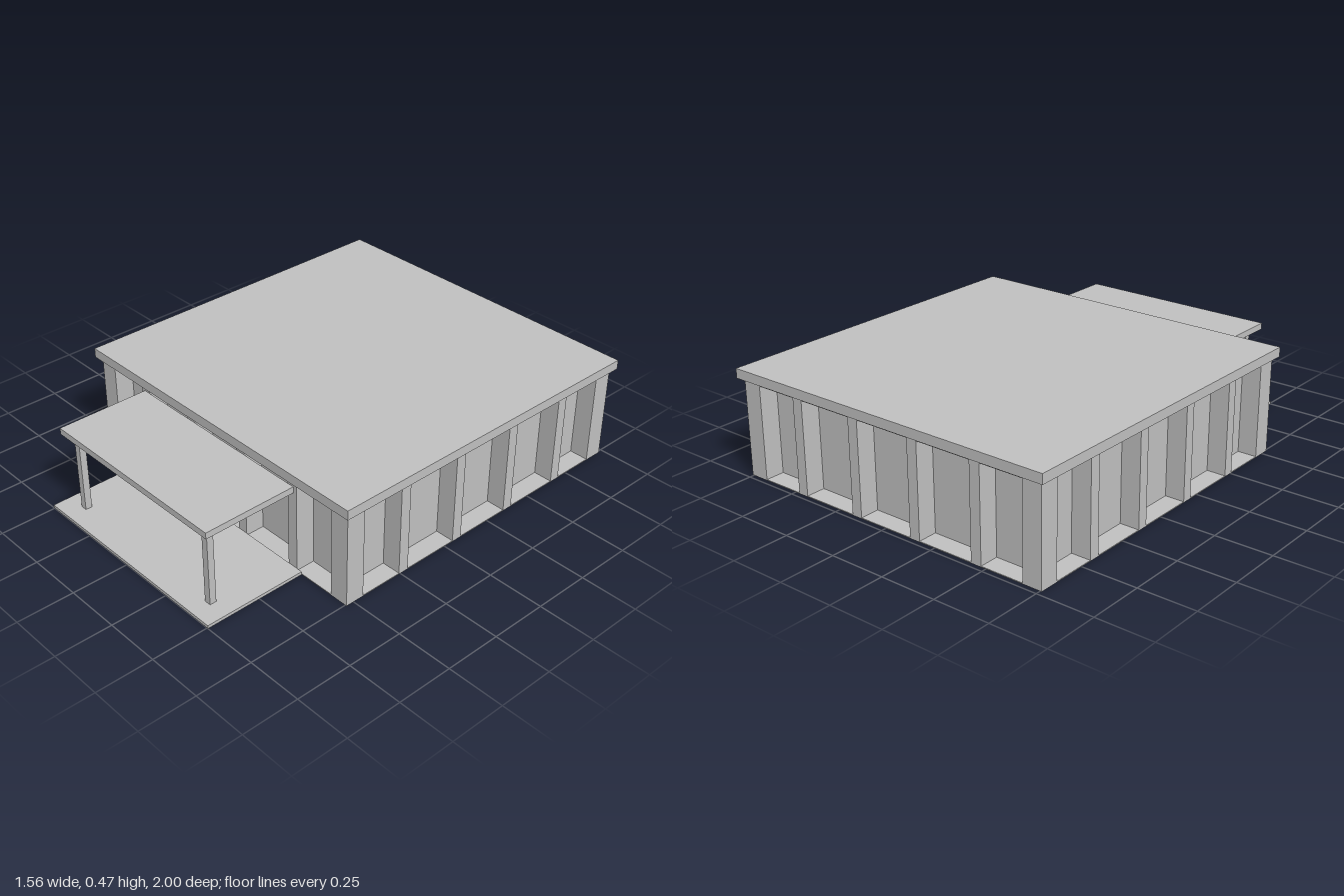
import * as THREE from 'three';

export function createModel() {
  const model = new THREE.Group();
  model.name = 'pavilion';
  const concrete = new THREE.MeshStandardMaterial({ color: 0xbfbfbf });
  concrete.name = 'concrete grey';

  // Box given by its centre on the ground plan, its footprint and its bottom and top heights
  function block(parent, name, x, z, width, depth, bottom, top) {
    const mesh = new THREE.Mesh(new THREE.BoxGeometry(width, top - bottom, depth), concrete);
    mesh.position.set(x, (bottom + top) / 2, z);
    mesh.name = name;
    parent.add(mesh);
  }

  const half = 0.757; // half the wall width
  const recess = 0.086; // depth of the bays
  const floorTop = 0.004, bayTop = 0.41, wallTop = 0.425;

  // Main hall: square plan with recessed bays on all four sides
  const hall = new THREE.Group();
  hall.name = 'hall';
  hall.position.z = -0.221;
  model.add(hall);
  block(hall, 'floorSlab', 0, 0, half * 2, half * 2, 0, floorTop);
  block(hall, 'innerWalls', 0, 0, (half - recess) * 2, (half - recess) * 2, floorTop, bayTop);
  block(hall, 'lintel', 0, 0, half * 2, half * 2, bayTop, wallTop);
  block(hall, 'roof', 0, 0, 1.558, 1.558, wallTop, 0.467);

  // Each side carries four piers and one corner block
  for (let i = 0; i < 4; i++) {
    const side = new THREE.Group();
    side.name = 'wallSide';
    side.rotation.y = (i * Math.PI) / 2;
    hall.add(side);
    const z = half - recess / 2;
    for (const x of [-0.454, -0.152, 0.152, 0.454]) {
      block(side, 'pier', x, z, 0.048, recess, floorTop, bayTop);
    }
    block(side, 'cornerPier', z, z, recess, recess, floorTop, bayTop);
  }

  // Entrance porch
  const porch = new THREE.Group();
  porch.name = 'porch';
  model.add(porch);
  const wallFront = half - 0.221;
  block(porch, 'porchSlab', 0, (1 + wallFront) / 2, 1.01, 1 - wallFront, 0, 0.014);
  block(porch, 'canopy', 0, (0.955 + wallFront) / 2, 0.922, 0.955 - wallFront, 0.366, 0.394);
  for (const s of [-1, 1]) block(porch, 'post', s * 0.404, 0.905, 0.03, 0.03, 0.014, 0.366);

  return model;
}
